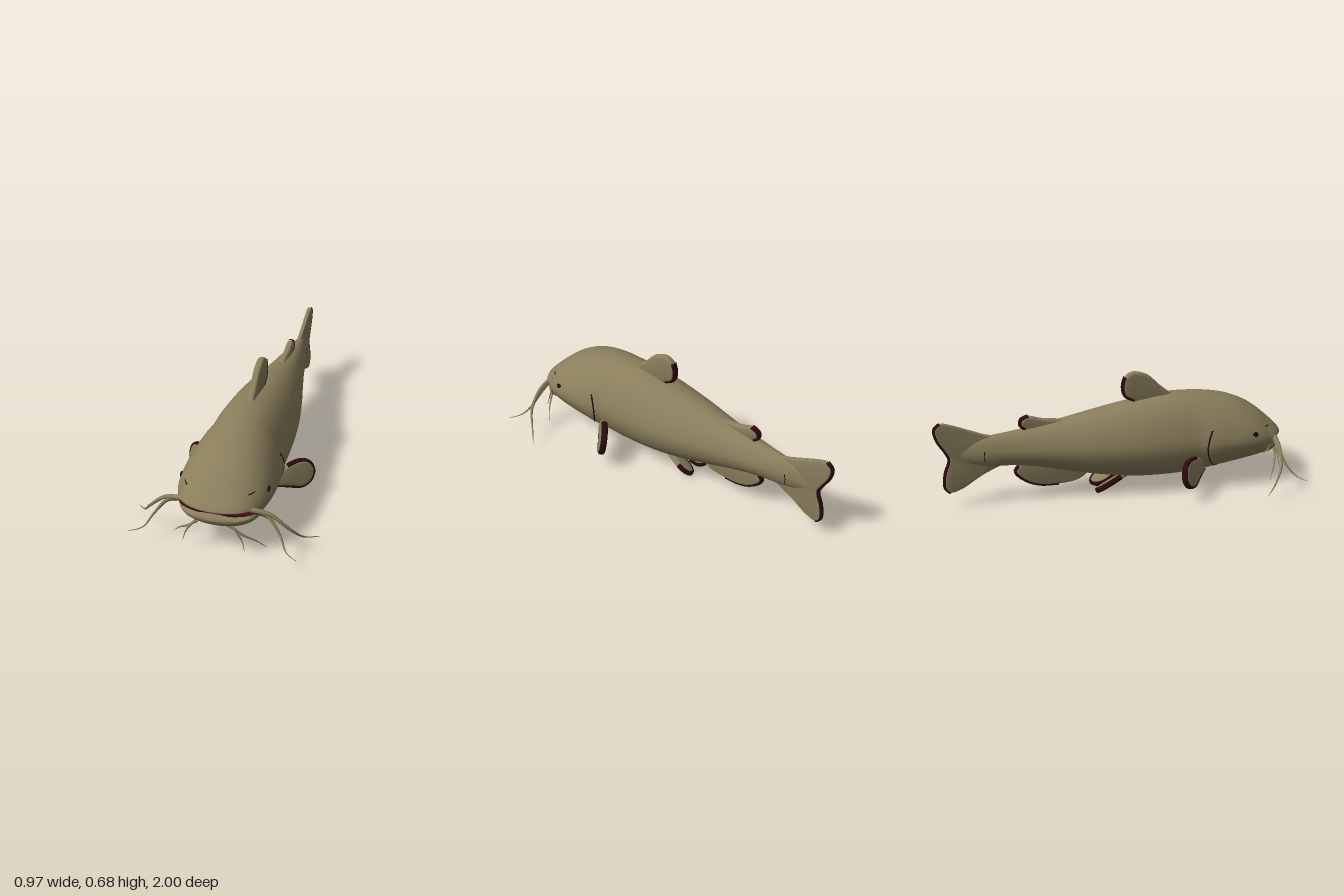
import * as THREE from 'three';
import { toCreasedNormals } from 'three/addons/utils/BufferGeometryUtils.js';

const mat = (name, color) => {
  const m = new THREE.MeshStandardMaterial({ color });
  m.name = name;
  return m;
};
const V = (x, y, z) => new THREE.Vector3(x, y, z);

// Cross-section tables: z, half width, top, widest height, bottom
const BODY = [
  [-0.9, 0.006, 0.32, 0.29, 0.26],
  [-0.8, 0.023, 0.365, 0.30, 0.24],
  [-0.75, 0.037, 0.382, 0.303, 0.227],
  [-0.7, 0.049, 0.393, 0.305, 0.217],
  [-0.6, 0.068, 0.402, 0.305, 0.213],
  [-0.45, 0.096, 0.42, 0.30, 0.19],
  [-0.3, 0.128, 0.442, 0.295, 0.152],
  [-0.1, 0.172, 0.476, 0.29, 0.105],
  [0.1, 0.203, 0.507, 0.285, 0.07],
  [0.33, 0.217, 0.532, 0.28, 0.058],
  [0.45, 0.221, 0.528, 0.28, 0.064],
  [0.51, 0.235, 0.521, 0.28, 0.072],
  [0.6, 0.242, 0.507, 0.28, 0.087],
  [0.7, 0.245, 0.48, 0.28, 0.104],
  [0.8, 0.233, 0.434, 0.275, 0.118],
  [0.86, 0.214, 0.394, 0.265, 0.13],
  [0.905, 0.188, 0.354, 0.255, 0.146],
];
const UPPER_JAW = [
  [0.86, 0.212, 0.393, 0.268, 0.246],
  [0.905, 0.19, 0.356, 0.272, 0.252],
  [0.94, 0.158, 0.324, 0.275, 0.257],
  [0.965, 0.115, 0.3, 0.276, 0.261],
  [0.978, 0.068, 0.286, 0.276, 0.266],
  [0.984, 0.02, 0.278, 0.275, 0.272],
];
const LOWER_JAW = [
  [0.86, 0.21, 0.243, 0.228, 0.131],
  [0.905, 0.187, 0.242, 0.226, 0.147],
  [0.94, 0.15, 0.239, 0.222, 0.168],
  [0.96, 0.105, 0.236, 0.219, 0.188],
  [0.97, 0.055, 0.23, 0.216, 0.202],
  [0.974, 0.015, 0.22, 0.215, 0.21],
];
const MOUTH = [
  [0.87, 0.2, 0.27, 0.25, 0.23],
  [0.91, 0.19, 0.27, 0.25, 0.23],
  [0.935, 0.158, 0.27, 0.25, 0.23],
  [0.945, 0.13, 0.266, 0.25, 0.232],
];

// Smooth surface through a section table: (z, angle) -> point, the back slightly peaked
function surface(table) {
  const zs = table.map((r) => r[0]);
  const interp = new THREE.CubicInterpolant(zs, table.flatMap((r) => r.slice(1)), 4);
  return (z, a) => {
    const [w, top, mid, bottom] = interp.evaluate(z);
    const s = Math.sin(a), c = Math.cos(a);
    const peak = s > 0 ? 1 - 0.16 * s * Math.abs(c) : 1;
    return V(w * c * peak, mid + s * (s > 0 ? top - mid : mid - bottom), z);
  };
}

// Closed loft through a section table, with end caps
function loft(table, steps, sides = 40) {
  const f = surface(table), pos = [], idx = [];
  const z0 = table[0][0], z1 = table[table.length - 1][0];
  for (let i = 0; i <= steps; i++)
    for (let j = 0; j < sides; j++)
      pos.push(...f(z1 + (z0 - z1) * i / steps, j / sides * Math.PI * 2));
  const at = (i, j) => i * sides + j % sides;
  for (let i = 0; i < steps; i++)
    for (let j = 0; j < sides; j++) {
      const a = at(i, j), b = at(i, j + 1), c = at(i + 1, j), d = at(i + 1, j + 1);
      idx.push(a, c, b, b, c, d);
    }
  const n = pos.length / 3;
  pos.push(0, table[table.length - 1][3], z1, 0, table[0][3], z0);
  for (let j = 0; j < sides; j++)
    idx.push(n, at(0, j), at(0, j + 1), n + 1, at(steps, j + 1), at(steps, j));
  const g = new THREE.BufferGeometry();
  g.setAttribute('position', new THREE.Float32BufferAttribute(pos, 3));
  g.setIndex(idx);
  g.computeVertexNormals();
  return g;
}

// Tube that thins from radius r to a fine tip
function taperTube(points, r, tip = 0.1, steps = 28) {
  const curve = new THREE.CatmullRomCurve3(points), sides = 8;
  const g = new THREE.TubeGeometry(curve, steps, r, sides, false);
  const p = g.attributes.position, v = V(0, 0, 0);
  for (let i = 0; i < p.count; i++) {
    const t = Math.floor(i / (sides + 1)) / steps;
    const c = curve.getPointAt(t);
    v.fromBufferAttribute(p, i).sub(c).multiplyScalar(1 + (tip - 1) * t).add(c);
    p.setXYZ(i, v.x, v.y, v.z);
  }
  return g;
}

export function createModel() {
  const group = new THREE.Group();
  const skin = mat('olive skin', 0x8a7e5c);
  const dark = mat('dark fin edge', 0x2a0a0d);
  const maroon = mat('mouth lining', 0x420c13);

  const add = (name, geo, m, parent = group) => {
    const mesh = new THREE.Mesh(geo, m);
    mesh.name = name;
    parent.add(mesh);
    return mesh;
  };

  add('body', loft(BODY, 90), skin);
  add('upperJaw', loft(UPPER_JAW, 18), skin);
  add('lowerJaw', loft(LOWER_JAW, 18), skin);
  add('mouth', loft(MOUTH, 8), maroon);

  // Rounded fin slab from a closed outline, with a dark full-width edge over points from..to
  function fin(name, pts, from, to, t) {
    const f = new THREE.Group();
    f.name = name;
    const v2 = pts.map((p) => new THREE.Vector2(...p));
    const shape = new THREE.Shape(new THREE.SplineCurve([...v2, v2[0]]).getPoints(70));
    const b = t * 0.35;
    const geo = new THREE.ExtrudeGeometry(shape, {
      depth: t - 2 * b, bevelThickness: b, bevelSize: b, bevelOffset: -b, bevelSegments: 3,
    });
    geo.translate(0, 0, -(t - 2 * b) / 2);
    add(name + 'Blade', toCreasedNormals(geo, 0.7), skin, f);
    const rim = new THREE.CatmullRomCurve3(pts.slice(from, to + 1).map((p) => V(p[0], p[1], 0)));
    const r = 0.01;
    const edge = new THREE.TubeGeometry(rim, 36, r, 10).scale(1, 1, t * 0.5 / r);
    add(name + 'Rim', edge, dark, f);
    group.add(f);
    return f;
  }

  // Fins on the centre line, outlined in (z, y)
  const median = (...args) => { fin(...args).rotation.y = -Math.PI / 2; };
  median('dorsalFin', [[0.36, 0.5], [0.33, 0.535], [0.27, 0.585], [0.2, 0.65], [0.12, 0.675], [0.07, 0.65],
    [0.056, 0.595], [0.07, 0.54], [0.12, 0.51], [0.16, 0.47]], 5, 8, 0.04);
  median('adiposeFin', [[-0.22, 0.42], [-0.3, 0.445], [-0.4, 0.46], [-0.48, 0.482], [-0.52, 0.465],
    [-0.525, 0.435], [-0.5, 0.41], [-0.52, 0.38], [-0.35, 0.37]], 3, 6, 0.036);
  median('analFin', [[-0.12, 0.15], [-0.16, 0.105], [-0.22, 0.073], [-0.32, 0.065], [-0.42, 0.073], [-0.5, 0.105],
    [-0.56, 0.165], [-0.54, 0.2], [-0.45, 0.235], [-0.25, 0.2]], 3, 7, 0.032);
  median('tailFin', [[-0.6, 0.385], [-0.7, 0.398], [-0.8, 0.437], [-0.9, 0.478], [-0.955, 0.49], [-0.987, 0.46],
    [-0.977, 0.4], [-0.937, 0.33], [-0.917, 0.28], [-0.942, 0.2], [-0.947, 0.12], [-0.92, 0.09],
    [-0.85, 0.108], [-0.75, 0.168], [-0.65, 0.213], [-0.6, 0.23]], 4, 11, 0.026);

  // Places a fin by its root and its length and width directions
  function paired(f, root, u, v) {
    u.normalize();
    const n = u.clone().cross(v).normalize();
    f.applyMatrix4(new THREE.Matrix4().makeBasis(u, n.clone().cross(u), n).setPosition(root));
  }
  const PADDLE = [[-0.03, 0.04], [0.04, 0.06], [0.12, 0.073], [0.175, 0.053], [0.2, 0],
    [0.175, -0.053], [0.12, -0.073], [0.04, -0.05], [-0.03, -0.03]];
  const bodyAt = surface(BODY);

  for (const s of [1, -1]) {
    const side = s > 0 ? 'left' : 'right';
    paired(fin(side + 'PectoralFin', PADDLE, 1, 8, 0.036),
      V(s * 0.2, 0.155, 0.445), V(s * 0.7, -0.04, -0.7), V(0, 1, -0.3));
    paired(fin(side + 'PelvicFin', PADDLE.map(([x, y]) => [x * 0.95, y * 0.6]), 2, 7, 0.032),
      V(s * 0.05, 0.097, 0.06), V(s * 0.05, -0.4, -0.85), V(1, s * 0.45, 0));

    // Barbels, the front one with a dark underside near its root
    const barbel = (name, r, m, ...pts) =>
      add(side + name, taperTube(pts.map(([x, y, z]) => V(s * x, y, z)), r), m);
    barbel('LongBarbel', 0.014, skin, [0.17, 0.272, 0.905], [0.27, 0.25, 0.89], [0.36, 0.17, 0.87],
      [0.42, 0.09, 0.81], [0.485, 0.05, 0.735]);
    barbel('FrontBarbel', 0.012, skin, [0.18, 0.268, 0.9], [0.26, 0.235, 0.89], [0.33, 0.15, 0.915],
      [0.37, 0.095, 0.96], [0.435, 0.083, 1.0]);
    barbel('BarbelUnderside', 0.009, dark, [0.19, 0.259, 0.9], [0.26, 0.228, 0.89], [0.325, 0.15, 0.91]);
    barbel('OuterChinBarbel', 0.008, skin, [0.08, 0.185, 0.945], [0.14, 0.135, 0.935], [0.2, 0.085, 0.9],
      [0.248, 0.025, 0.86]);
    barbel('InnerChinBarbel', 0.008, skin, [0.09, 0.185, 0.94], [0.13, 0.14, 0.955], [0.148, 0.105, 0.955],
      [0.162, 0.055, 0.965]);

    // Small flush eye
    const eye = add(side + 'Eye', new THREE.SphereGeometry(0.017, 16, 12), dark);
    eye.scale.x = 0.35;
    eye.position.copy(bodyAt(0.765, 0.19));
    eye.position.x *= s;

    // Thin dark lines that follow the body surface
    const line = (name, r, ...pts) => add(side + name, taperTube(pts.map(([z, a]) => {
      const p = bodyAt(z, a);
      p.x *= s;
      return p;
    }), r, 0.6), dark);
    line('GillSlit', 0.005, [0.51, 0.33], [0.488, 0.1], [0.482, -0.15], [0.5, -0.45], [0.54, -0.8], [0.59, -1.1]);
    line('Nostril', 0.0035, [0.875, 0.62], [0.86, 0.56], [0.84, 0.5]);
    line('TailCrease', 0.003, [-0.73, 0.2], [-0.735, -0.2], [-0.73, -0.6]);
  }
  return group;
}
